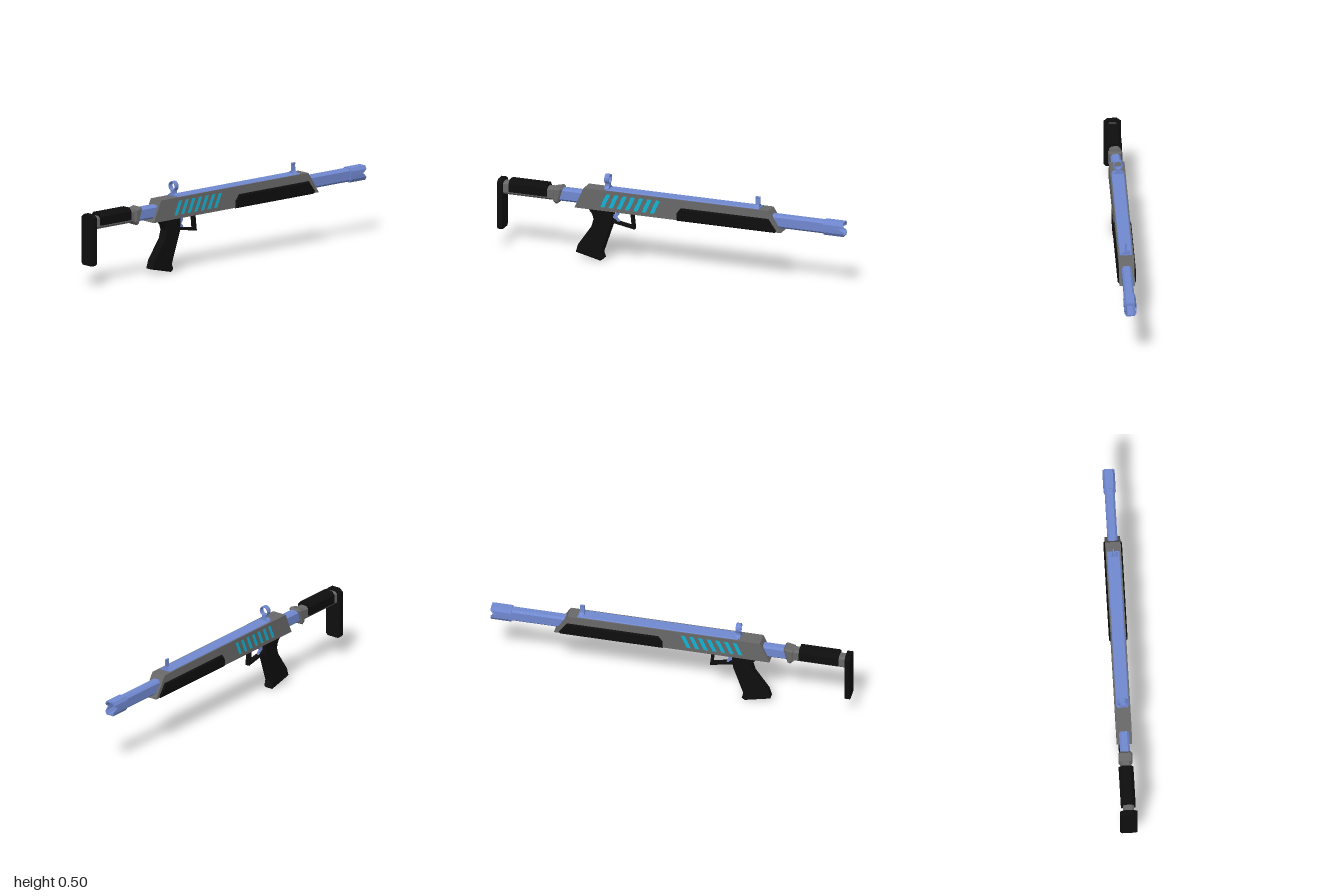
import * as THREE from 'three';

const mat = (color) => new THREE.MeshStandardMaterial({ color });
const BLUE = mat(0x7088d0), GREY = mat(0x686868), BLACK = mat(0x0e0e0e), CYAN = mat(0x12b4d4);

const toShape = (pts) => new THREE.Shape(pts.map(([a, b]) => new THREE.Vector2(a, b)));

// Side profile of [z, y] points, extruded across x and centred on x = 0; optional chamfer and holes
function sideGeometry(profile, width, chamfer = 0, holes = []) {
  const flip = (pts) => toShape(pts.map(([z, y]) => [-z, y]));
  const shape = flip(profile);
  shape.holes = holes.map(flip);
  const depth = width - 2 * chamfer;
  const geo = new THREE.ExtrudeGeometry(shape, {
    depth, bevelEnabled: chamfer > 0, bevelThickness: chamfer,
    bevelSize: chamfer, bevelOffset: -chamfer, bevelSegments: 1, curveSegments: 8,
  });
  return geo.translate(0, 0, -depth / 2).rotateY(Math.PI / 2);
}

// Cross-section shape in x, y, extruded from z0 to z1
function alongZ(shape, z0, z1) {
  return new THREE.ExtrudeGeometry(shape, { depth: z1 - z0, bevelEnabled: false, curveSegments: 10 })
    .translate(0, 0, z0);
}

// Rectangle with cut corners
function cutRect(w, y0, y1, c) {
  return [[-w + c, y0], [w - c, y0], [w, y0 + c], [w, y1 - c], [w - c, y1], [-w + c, y1], [-w, y1 - c], [-w, y0 + c]];
}

export function createModel() {
  const group = new THREE.Group();
  const add = (name, geo, material) => {
    const mesh = new THREE.Mesh(geo, material);
    mesh.name = name;
    group.add(mesh);
    return mesh;
  };

  // Receiver: a core with slotted side plates
  const body = [[0.553, 0.295], [0.5, 0.412], [-0.57, 0.412], [-0.645, 0.295]];
  add('receiverCore', sideGeometry(body, 0.072), GREY);
  const slots = [];
  for (let i = 0; i < 7; i++) {
    const z = 0.405 - i * 0.048;
    slots.push([[z, 0.315], [z - 0.025, 0.315], [z - 0.06, 0.393], [z - 0.035, 0.393]]);
  }
  for (const side of [1, -1]) {
    const label = side > 0 ? 'left' : 'right';
    add(label + 'ReceiverPlate', sideGeometry(body, 0.006, 0, slots), GREY).position.x = side * 0.039;
    slots.forEach((slot, i) => {
      add(`${label}GlowSlot${i + 1}`, sideGeometry(slot, 0.004), CYAN).position.x = side * 0.037;
    });
  }

  // Top rail
  add('topRail', alongZ(toShape([[-0.035, 0.4], [0.035, 0.4], [0.035, 0.413], [0.031, 0.417], [-0.031, 0.417], [-0.035, 0.413]]),
    -0.515, 0.375), BLUE);

  // Fore-end wrapping the sides and underside
  add('foreEnd', sideGeometry([[-0.04, 0.292], [-0.04, 0.335], [-0.065, 0.367], [-0.572, 0.367], [-0.617, 0.305], [-0.61, 0.292]],
    0.1, 0.008), BLACK);

  // Barrel
  add('barrel', alongZ(toShape(cutRect(0.027, 0.315, 0.386, 0.011)), -0.9, -0.56), BLUE);

  // Hollow muzzle, with a V notch made by pulling back the side midpoints of the open end
  const ring = (w, h) => [[-w + 0.011, -h], [w - 0.011, -h], [w, -h + 0.018], [w + 0.0006, 0], [w, h - 0.018],
    [w - 0.011, h], [-w + 0.011, h], [-w, h - 0.018], [-w - 0.0006, 0], [-w, -h + 0.018]];
  const muzzleShape = toShape(ring(0.033, 0.04));
  muzzleShape.holes.push(toShape(ring(0.026, 0.033)));
  const muzzle = alongZ(muzzleShape, -1, -0.886);
  const p = muzzle.attributes.position;
  for (let i = 0; i < p.count; i++) {
    if (p.getZ(i) < -0.99 && Math.abs(p.getY(i)) < 0.001) p.setZ(i, -0.975);
  }
  muzzle.computeVertexNormals();
  add('muzzle', muzzle, BLUE).position.y = 0.35;
  add('muzzleBase', alongZ(toShape(cutRect(0.031, 0.312, 0.388, 0.011)), -0.9, -0.888), BLUE);

  // Rear sight: stepped foot carrying a ring
  const foot = [[-0.03, 0.414], [0.03, 0.414], [0.03, 0.419], [0.012, 0.43], [0.012, 0.445], [-0.012, 0.445], [-0.012, 0.43], [-0.03, 0.419]];
  add('rearSightFoot', alongZ(toShape(foot), 0.36, 0.386), BLUE);
  const hoop = new THREE.Shape().absarc(0, 0.469, 0.027, 0, Math.PI * 2);
  hoop.holes.push(new THREE.Path().absarc(0, 0.469, 0.022, 0, Math.PI * 2, true));
  add('rearSightRing', alongZ(hoop, 0.36, 0.386), BLUE);

  // Front sight: narrow post on a small foot
  add('frontSightFoot', alongZ(toShape([[-0.028, 0.414], [0.028, 0.414], [0.01, 0.428], [-0.01, 0.428]]), -0.508, -0.484), BLUE);
  add('frontSightPost', alongZ(toShape([[-0.006, 0.42], [0.006, 0.42], [0.003, 0.463], [0.005, 0.468],
    [0.003, 0.474], [-0.003, 0.474], [-0.005, 0.468], [-0.003, 0.463]]), -0.508, -0.484), BLUE);

  // Grip
  add('grip', sideGeometry([[0.486, 0.298], [0.458, 0.262], [0.45, 0.235], [0.462, 0.192], [0.505, 0.13], [0.54, 0.08], [0.553, 0.035],
    [0.41, 0.001], [0.393, 0.014], [0.403, 0.045], [0.345, 0.215], [0.338, 0.298]], 0.054, 0.007), BLACK);

  // Trigger guard and trigger
  add('triggerGuard', sideGeometry([[0.35, 0.225], [0.215, 0.2], [0.226, 0.298], [0.24, 0.298], [0.232, 0.218], [0.35, 0.239]], 0.026), BLACK);
  add('trigger', sideGeometry([[0.308, 0.298], [0.31, 0.27], [0.322, 0.255], [0.31, 0.243], [0.305, 0.225],
    [0.315, 0.225], [0.322, 0.24], [0.345, 0.252], [0.345, 0.268], [0.328, 0.272], [0.328, 0.298]], 0.012), BLUE);

  // Stock: tube, collar, arm, cheek rest and butt plate
  add('stockTube', alongZ(toShape(cutRect(0.027, 0.315, 0.386, 0.011)), 0.49, 0.67), BLUE);
  add('stockCollar', sideGeometry([[0.683, 0.317], [0.683, 0.385], [0.64, 0.396], [0.628, 0.386], [0.65, 0.305], [0.665, 0.298]],
    0.076, 0.009), GREY);
  add('stockArm', alongZ(toShape(cutRect(0.03, 0.315, 0.386, 0.012)), 0.66, 0.975), GREY);
  add('cheekRest', alongZ(toShape([[-0.04, 0.335], [0.04, 0.335], [0.04, 0.383], [0.024, 0.402], [-0.024, 0.402], [-0.04, 0.383]]),
    0.715, 0.935), BLACK);
  add('buttPlate', alongZ(toShape([[-0.035, 0.117], [0.035, 0.117], [0.047, 0.13], [0.047, 0.383], [0.025, 0.4],
    [-0.025, 0.4], [-0.047, 0.383], [-0.047, 0.13]]), 0.971, 1), BLACK);

  return group;
}
